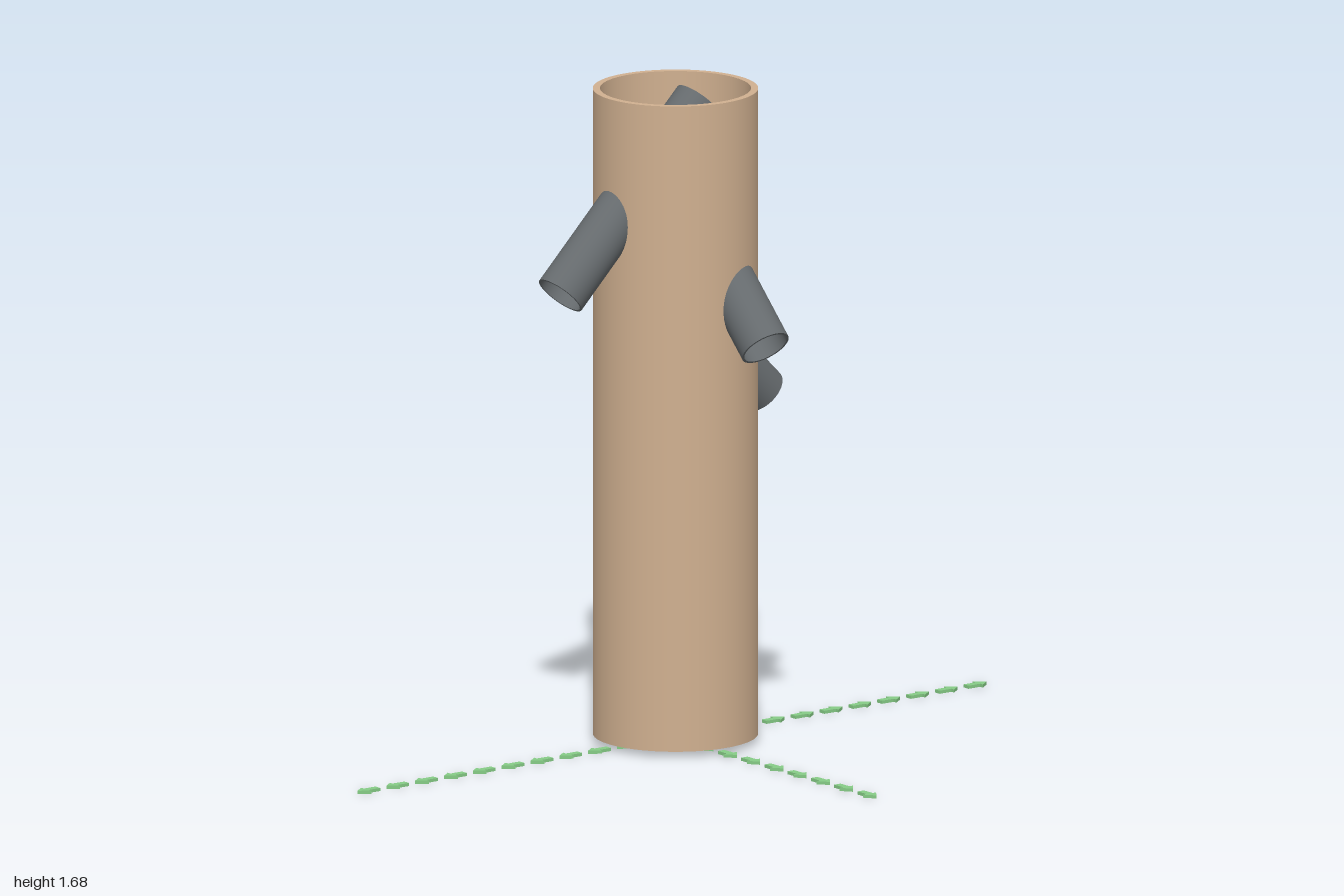
import * as THREE from 'three';

const CX = -0.316, CZ = -0.008, BOTTOM = 0.015, TOP = 1.68;
const OUTER = 0.208, INNER = 0.19;
const PIPE_R = 0.065, PIPE_IN = 0.059;

const mat = (color, side = THREE.FrontSide) => new THREE.MeshStandardMaterial({ color, side });
const V = (x, y, z) => new THREE.Vector3(x, y, z);

// Each pipe runs from an open low end outside to a capped high end inside
const PIPES = [
  { name: 'frontPipe', low: V(-0.32, 1.195, 0.355), high: V(-0.32, 1.635, -0.085) },
  { name: 'leftPipe', low: V(-0.02, 1.055, -0.065), high: V(-0.465, 1.5, -0.065) },
  { name: 'backPipe', low: V(-0.335, 0.855, -0.295), high: V(-0.335, 1.3, 0.15) },
];

// Vector from a pipe's axis to a point, or null beyond the half that pierces the wall
function fromAxis(p, pipe) {
  const dir = pipe.high.clone().sub(pipe.low);
  const t = p.clone().sub(pipe.low).dot(dir) / dir.lengthSq();
  return t > 0.65 ? null : p.clone().sub(pipe.low).addScaledVector(dir, -t);
}

// Cylinder wall with round holes where the pipes pass
function drilledWall(radius) {
  const geo = new THREE.CylinderGeometry(radius, radius, TOP - BOTTOM, 96, 130, true);
  geo.translate(CX, (TOP + BOTTOM) / 2, CZ);
  const pos = geo.attributes.position, inside = [];
  const hole = PIPE_R - 0.003;
  const p = V(0, 0, 0);
  for (let i = 0; i < pos.count; i++) {
    p.fromBufferAttribute(pos, i);
    const pipe = PIPES.find((q) => { const d = fromAxis(p, q); return d && d.length() < hole; });
    inside.push(!!pipe);
    if (!pipe) continue;
    // slide the vertex along the wall to the rim of the hole
    for (let k = 0; k < 4; k++) {
      const d = fromAxis(p, pipe);
      if (!d) break;
      p.add(d.setLength(hole).sub(fromAxis(p, pipe)));
      const s = radius / Math.hypot(p.x - CX, p.z - CZ);
      p.x = CX + (p.x - CX) * s;
      p.z = CZ + (p.z - CZ) * s;
    }
    pos.setXYZ(i, p.x, p.y, p.z);
  }
  const idx = geo.index.array, keep = [];
  for (let i = 0; i < idx.length; i += 3) {
    const [a, b, c] = [idx[i], idx[i + 1], idx[i + 2]];
    if (!(inside[a] && inside[b] && inside[c])) keep.push(a, b, c);
  }
  geo.setIndex(keep);
  return geo;
}

function makeColumn() {
  const column = new THREE.Group();
  column.name = 'column';
  const add = (name, geo, side) => {
    const m = new THREE.Mesh(geo, mat(0xd0b090, side));
    m.name = name;
    column.add(m);
    return m;
  };
  add('outerWall', drilledWall(OUTER));
  add('innerWall', drilledWall(INNER), THREE.BackSide);
  // flat rims joining the two walls
  for (const [name, y, turn] of [['topRim', TOP, -1], ['bottomRim', BOTTOM, 1]]) {
    const rim = add(name, new THREE.RingGeometry(INNER, OUTER, 96));
    rim.rotation.x = turn * Math.PI / 2;
    rim.position.set(CX, y, CZ);
  }
  return column;
}

function makePipe({ name, low, high }) {
  const pipe = new THREE.Group();
  pipe.name = name;
  const dir = high.clone().sub(low), len = dir.length();
  const add = (part, geo, color, side) => {
    const m = new THREE.Mesh(geo, mat(color, side));
    m.name = part;
    pipe.add(m);
    return m;
  };
  const grey = 0x666b6e;
  add('pipeOuter', new THREE.CylinderGeometry(PIPE_R, PIPE_R, len, 48, 1, true), grey);
  add('pipeInner', new THREE.CylinderGeometry(PIPE_IN, PIPE_IN, len, 48, 1, true), grey, THREE.BackSide);
  const lip = add('pipeLip', new THREE.RingGeometry(PIPE_IN, PIPE_R, 48), grey);
  lip.rotation.x = Math.PI / 2;
  lip.position.y = -len / 2;
  const cap = add('endCap', new THREE.CircleGeometry(PIPE_R, 48), 0xf05a6e, THREE.DoubleSide);
  cap.rotation.x = -Math.PI / 2;
  cap.position.y = len / 2;
  pipe.position.copy(low).add(high).multiplyScalar(0.5);
  pipe.quaternion.setFromUnitVectors(V(0, 1, 0), dir.normalize());
  return pipe;
}

// Flat arrow lying on the ground, tip at the origin, pointing to +x
function arrowGeometry() {
  const pts = [[0, 0], [-0.028, 0.021], [-0.028, 0.01], [-0.065, 0.01],
    [-0.065, -0.01], [-0.028, -0.01], [-0.028, -0.021]];
  const shape = new THREE.Shape(pts.map(([x, y]) => new THREE.Vector2(x, y)));
  return new THREE.ExtrudeGeometry(shape, { depth: 0.008, bevelEnabled: false }).rotateX(-Math.PI / 2);
}

function makeArrowRow(name, tipDistance, step, count, angle) {
  const row = new THREE.Group();
  row.name = name;
  const geo = arrowGeometry(), green = mat(0x86cc86);
  for (let i = 0; i < count; i++) {
    const arrow = new THREE.Mesh(geo, green);
    arrow.name = 'arrow';
    arrow.position.x = tipDistance - i * step;
    row.add(arrow);
  }
  row.position.set(-0.32, 0, 0);
  row.rotation.y = angle;
  return row;
}

export function createModel() {
  const model = new THREE.Group();
  model.name = 'columnWithPipes';
  model.add(makeColumn());
  PIPES.forEach((p) => model.add(makePipe(p)));
  // rows of ground arrows leading away from the column
  model.add(makeArrowRow('leftArrows', 0.84, 0.0955, 9, 0));
  model.add(makeArrowRow('backArrows', 1, 0.0917, 11, Math.PI / 2));
  model.add(makeArrowRow('frontArrows', 1, 0.0917, 11, -Math.PI / 2));
  return model;
}
